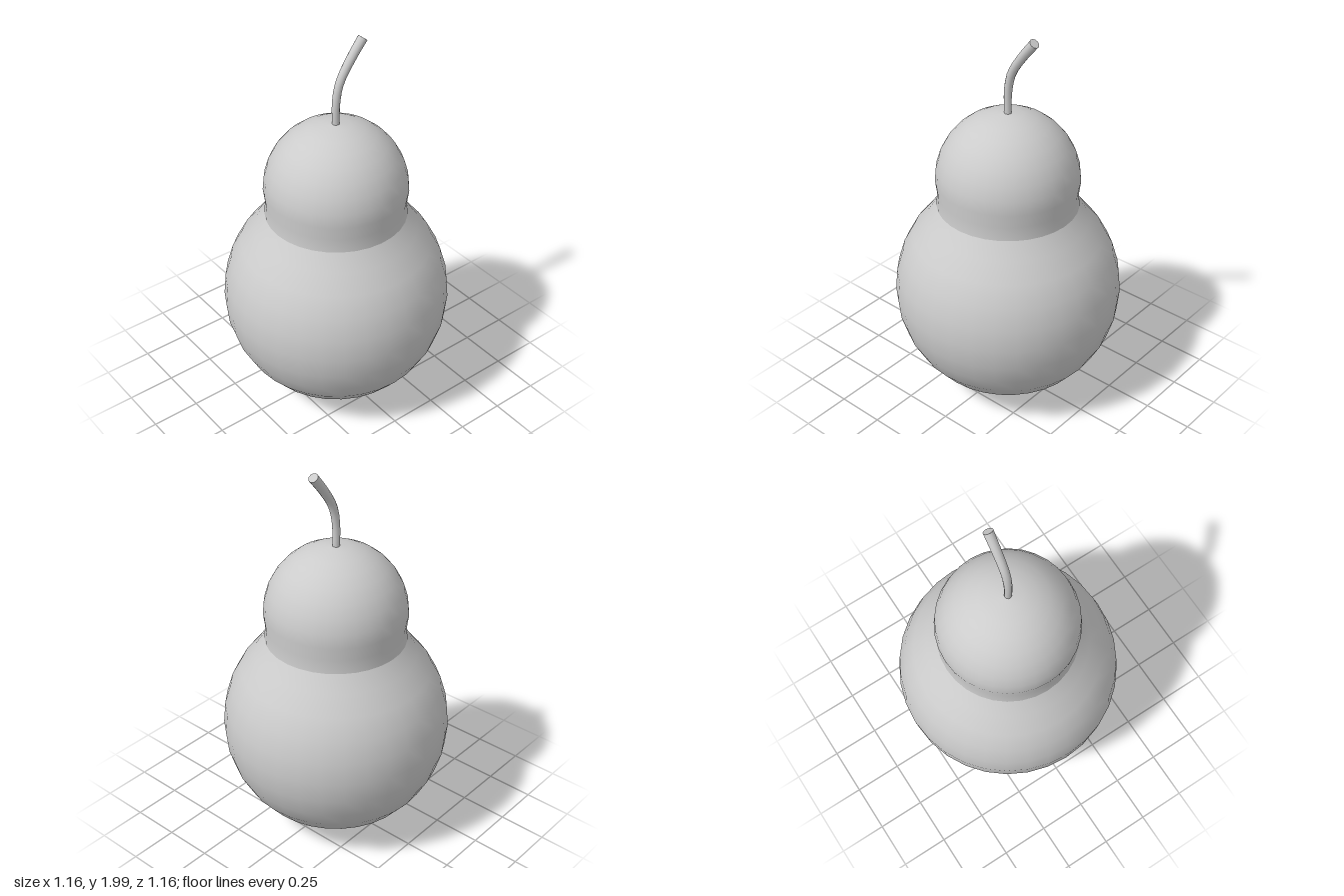
import * as THREE from 'three';

const material = new THREE.MeshStandardMaterial({ color: 0xcccccc, side: THREE.DoubleSide });
const SIDES = 32;
const STEP = Math.PI / 16;

// Profile points of a sphere, rings counted from the bottom pole
function arc(radius, height, centreY, from, to) {
  const points = [];
  for (let i = from; i <= to; i++) {
    const x = i % 16 === 0 ? 0 : radius * Math.sin(i * STEP);
    points.push(new THREE.Vector2(x, centreY - height * Math.cos(i * STEP)));
  }
  return points;
}

function part(name, geometry) {
  const mesh = new THREE.Mesh(geometry, material);
  mesh.name = name;
  return mesh;
}

export function createModel() {
  const group = new THREE.Group();
  group.name = 'pear';

  // Round lower body, drawn in to the neck seam
  const bodyProfile = [...arc(0.58, 0.583, 0.585, 0, 12), new THREE.Vector2(0.355, 1.08)];
  group.add(part('body', new THREE.LatheGeometry(bodyProfile, SIDES)));

  // Domed top with a slight flare where it meets the body
  const topProfile = [new THREE.Vector2(0.357, 1.08), ...arc(0.36, 0.36, 1.22, 7, 16)];
  topProfile[1].x = 0.351;
  group.add(part('top', new THREE.LatheGeometry(topProfile, SIDES)));

  // Curved stem, slightly thicker towards its cut end
  const path = new THREE.CatmullRomCurve3([
    [0, 1.54], [0, 1.69], [0.022, 1.79], [0.088, 1.895], [0.157, 1.981],
  ].map(([x, y]) => new THREE.Vector3(x, y, 0)));
  const rings = 12, sides = 12, tipRadius = 0.025;
  const stem = new THREE.TubeGeometry(path, rings, tipRadius, sides);
  const pos = stem.attributes.position, v = new THREE.Vector3();
  for (let i = 0; i < pos.count; i++) {
    const t = Math.floor(i / (sides + 1)) / rings;
    const centre = path.getPointAt(t);
    v.fromBufferAttribute(pos, i).sub(centre).multiplyScalar(0.7 + 0.3 * t).add(centre);
    pos.setXYZ(i, v.x, v.y, v.z);
  }
  group.add(part('stem', stem));

  // Flat cut end of the stem
  const tip = part('stemTip', new THREE.CircleGeometry(tipRadius, sides));
  tip.position.copy(path.getPointAt(1));
  tip.quaternion.setFromUnitVectors(new THREE.Vector3(0, 0, 1), path.getTangentAt(1));
  group.add(tip);

  return group;
}
